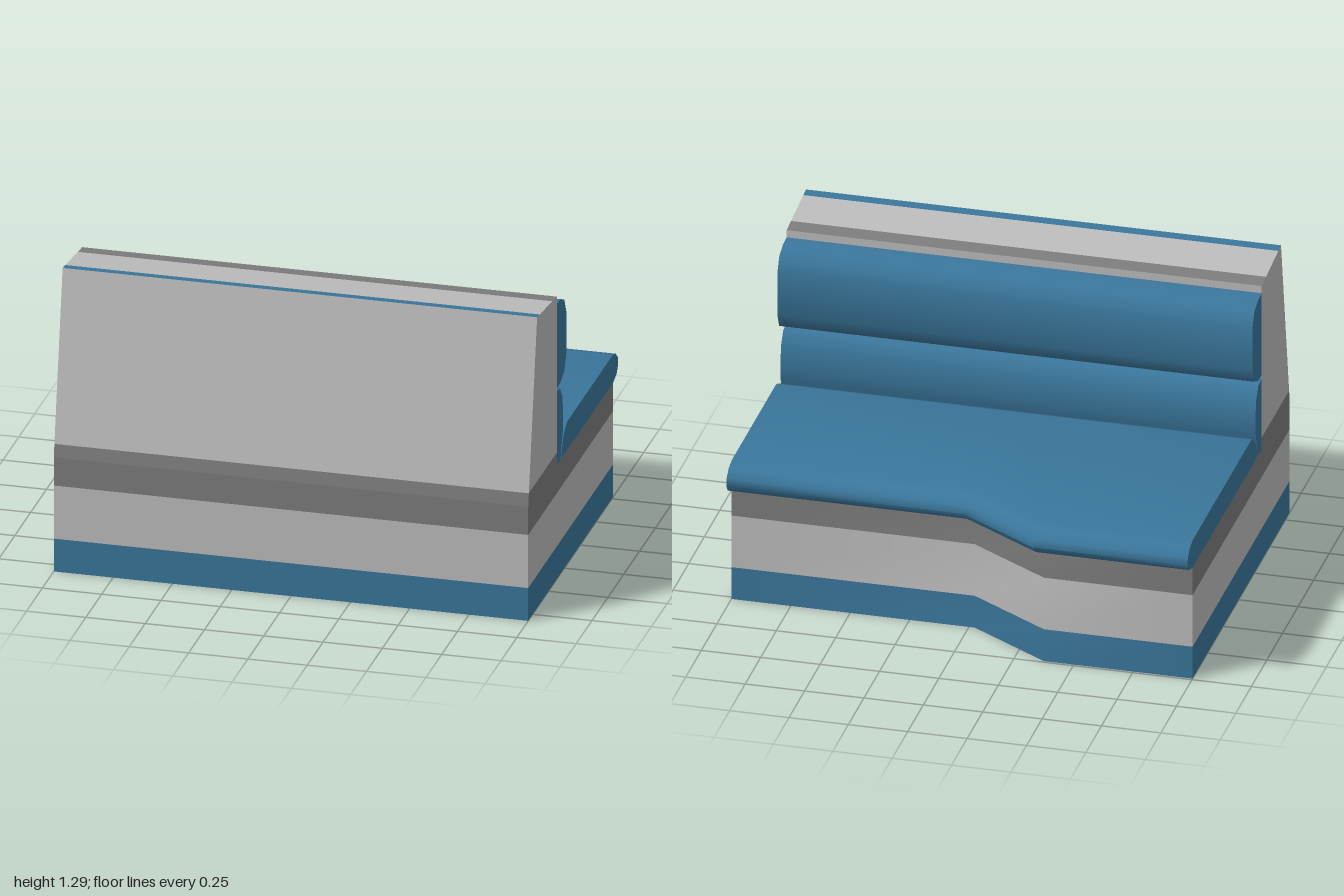
import * as THREE from 'three';
import { toCreasedNormals } from 'three/addons/utils/BufferGeometryUtils.js';

const material = (name, color) => {
  const m = new THREE.MeshStandardMaterial({ color, side: THREE.DoubleSide });
  m.name = name;
  return m;
};

// Skin a series of point rows; each row is a list of [x, y, z]
function loft(rows, closed) {
  const pos = [];
  for (let r = 0; r < rows.length - 1; r++) {
    const a = rows[r], b = rows[r + 1], n = a.length;
    for (let i = 0; i < (closed ? n : n - 1); i++) {
      const j = (i + 1) % n;
      for (const p of [a[i], a[j], b[j], a[i], b[j], b[i]]) pos.push(...p);
    }
  }
  const g = new THREE.BufferGeometry();
  g.setAttribute('position', new THREE.Float32BufferAttribute(pos, 3));
  return toCreasedNormals(g, 0.9);
}

// Close a series of sections with flat ends
function capped(sections) {
  const centre = (s) => {
    const c = [0, 1, 2].map((k) => s.reduce((t, p) => t + p[k], 0) / s.length);
    return s.map(() => c);
  };
  return loft([centre(sections[0]), ...sections, centre(sections[sections.length - 1])], true);
}

export function createModel() {
  const group = new THREE.Group();
  const blue = material('blue upholstery', 0x3a769b);
  const light = material('light grey panel', 0xbcbcbc);
  const dark = material('dark grey trim', 0x7c7c7c);

  const add = (name, geometry, mat) => {
    const mesh = new THREE.Mesh(geometry, mat);
    mesh.name = name;
    group.add(mesh);
  };

  // Hollow base: three stacked bands around a stepped plan
  const plan = [[-1, 0.82], [1, 0.82], [1, -0.517], [-0.024, -0.517], [-0.374, -0.74], [-1, -0.74]];
  const level = (y) => plan.map(([x, z]) => [x, y, z]);
  add('plinth', loft([level(0), level(0.145)], true), blue);
  add('basePanel', loft([level(0.145), level(0.38)], true), light);
  add('baseTrim', loft([level(0.38), level(0.505)], true), dark);

  // Hollow tapered backrest
  const ring = (zBack, yBack, zFront, yFront) => [
    [-1, yBack, zBack], [1, yBack, zBack], [1, yFront, zFront], [-1, yFront, zFront],
  ];
  const foot = ring(0.82, 0.505, 0.37, 0.505);
  const waist = ring(0.81, 0.56, 0.37, 0.56);
  const crown = ring(0.68, 1.285, 0.37, 1.25);
  add('backrestTrim', loft([foot, waist], true), dark);
  add('backrestShell', loft([waist, crown], true), light);

  // Striped top of the backrest
  const edge = (z) => [-1, 1].map((x) => [x, 1.25 + (z - 0.37) * 0.113, z]);
  add('topStripe', loft([edge(0.68), edge(0.637)]), blue);
  add('topPanel', loft([edge(0.637), edge(0.44)]), light);
  add('topTrim', loft([edge(0.44), edge(0.37)]), dark);

  // Back cushions: profiles are [z, y]
  const cushion = (name, profile) =>
    add(name, capped([1, -1].map((x) => profile.map(([z, y]) => [x, y, z]))), blue);
  cushion('upperBackCushion', [
    [0.37, 1.217], [0.31, 1.213], [0.25, 1.188], [0.22, 1.125],
    [0.22, 0.935], [0.25, 0.872], [0.31, 0.847], [0.37, 0.842],
  ]);
  cushion('lowerBackCushion', [
    [0.37, 0.832], [0.315, 0.82], [0.28, 0.77], [0.268, 0.68],
    [0.275, 0.61], [0.312, 0.505], [0.37, 0.505],
  ]);

  // Seat cushion: fixed rear, rolled front that follows the stepped plan
  const rear = [[0.305, 0.505], [0.27, 0.58], [0.24, 0.615], [0.2, 0.63]];
  const front = [[0.09, 0.63], [0.04, 0.617], [0.006, 0.588], [0, 0.555], [0.025, 0.522], [0.08, 0.505]];
  const section = (x, zEdge, mitre) => [
    ...rear.map(([z, y]) => [x - 0.1 * mitre, y, z]),
    ...front.map(([d, y]) => [x - d * mitre, y, zEdge + d]),
  ];
  add('seatCushion', capped([
    section(1, -0.6, 0),
    section(0, -0.6, 0.29),
    section(-0.35, -0.822, 0.29),
    section(-1, -0.822, 0),
  ]), blue);

  return group;
}
